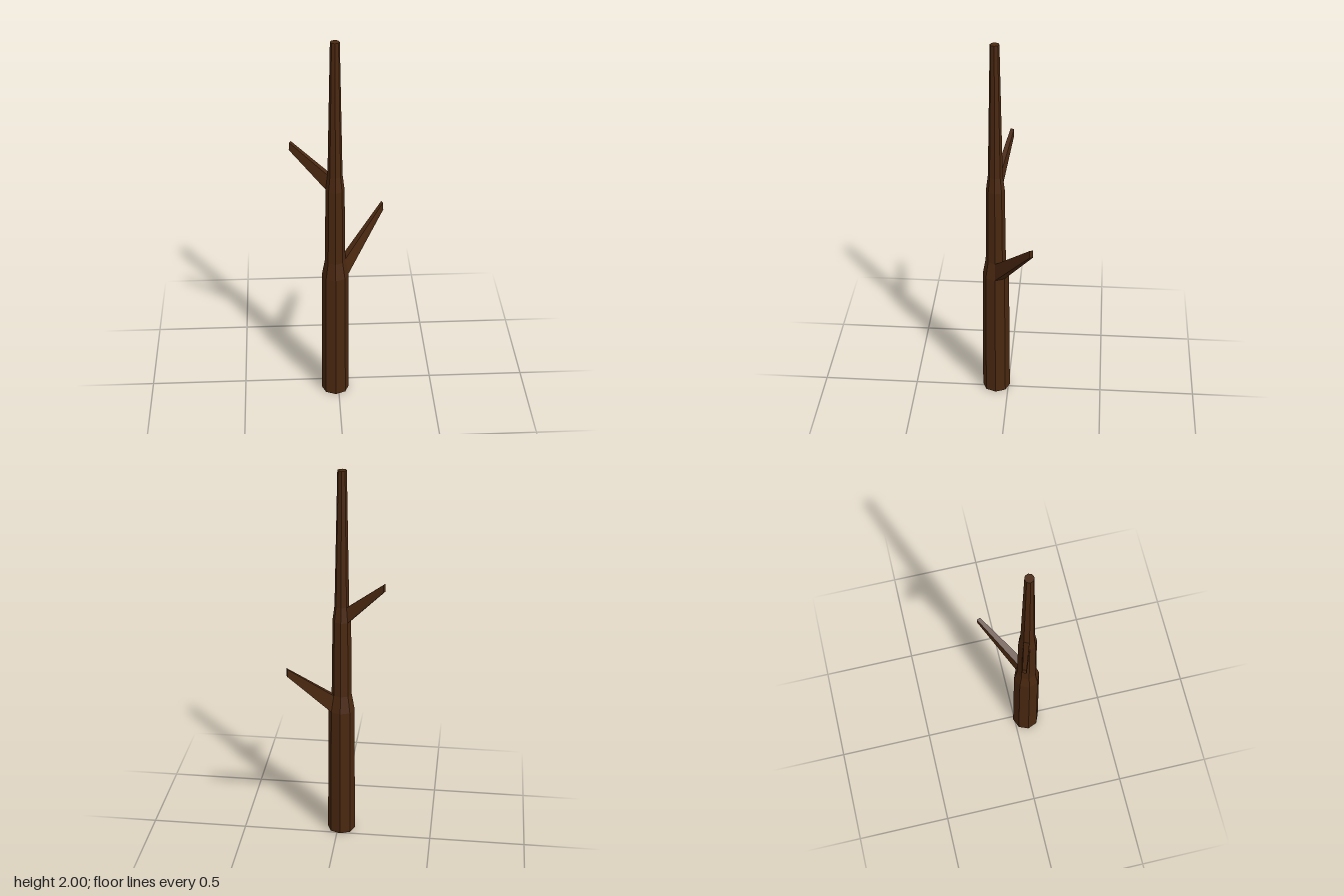
import * as THREE from 'three';

const SIDES = 8;
const CENTRE = new THREE.Vector3(-0.017, 0, 0.065);

export function createModel() {
  const tree = new THREE.Group();
  tree.name = 'bareTree';
  const bark = new THREE.MeshStandardMaterial({ color: 0x4a2810, flatShading: true });

  // Eight-sided trunk, stepping in above each branch
  const profile = [[0, 0], [0.073, 0], [0.068, 0.72], [0.052, 0.81],
    [0.047, 1.22], [0.037, 1.3], [0.023, 2], [0, 2]];
  const trunk = new THREE.Mesh(
    new THREE.LatheGeometry(profile.map(([r, y]) => new THREE.Vector2(r, y)), SIDES), bark);
  trunk.name = 'trunk';
  trunk.position.copy(CENTRE);
  tree.add(trunk);

  // Corner of the trunk at a profile row, on the side vertex or the one behind it
  const trunkCorner = (side, row, front) => {
    const [r, y] = profile[row];
    const a = front ? 0 : Math.PI / 4;
    return new THREE.Vector3(side * r * Math.cos(a), y, -r * Math.sin(a)).add(CENTRE);
  };

  // Branch: a box stretched from one trunk facet to a small tip quad
  function addBranch(name, side, lowRow, tip) {
    const geo = new THREE.BoxGeometry(1, 1, 1);
    const pos = geo.attributes.position;
    for (let i = 0; i < pos.count; i++) {
      const isTip = pos.getX(i) * side > 0;
      const upper = pos.getY(i) > 0;
      const front = pos.getZ(i) > 0;
      const p = isTip
        ? new THREE.Vector3(
          tip.x + side * ((front ? 0.004 : -0.004) - (upper ? 0.001 : -0.001)),
          tip.y + (upper ? 0.02 : -0.02),
          tip.z + (front ? 0.009 : -0.009))
        : trunkCorner(side, lowRow + (upper ? 1 : 0), front);
      pos.setXYZ(i, p.x, p.y, p.z);
    }
    geo.computeVertexNormals();
    const branch = new THREE.Mesh(geo, bark);
    branch.name = name;
    tree.add(branch);
  }
  addBranch('lowerLeftBranch', 1, 2, new THREE.Vector3(0.235, 1.008, -0.13));
  addBranch('upperRightBranch', -1, 4, new THREE.Vector3(-0.235, 1.432, -0.004));

  return tree;
}
